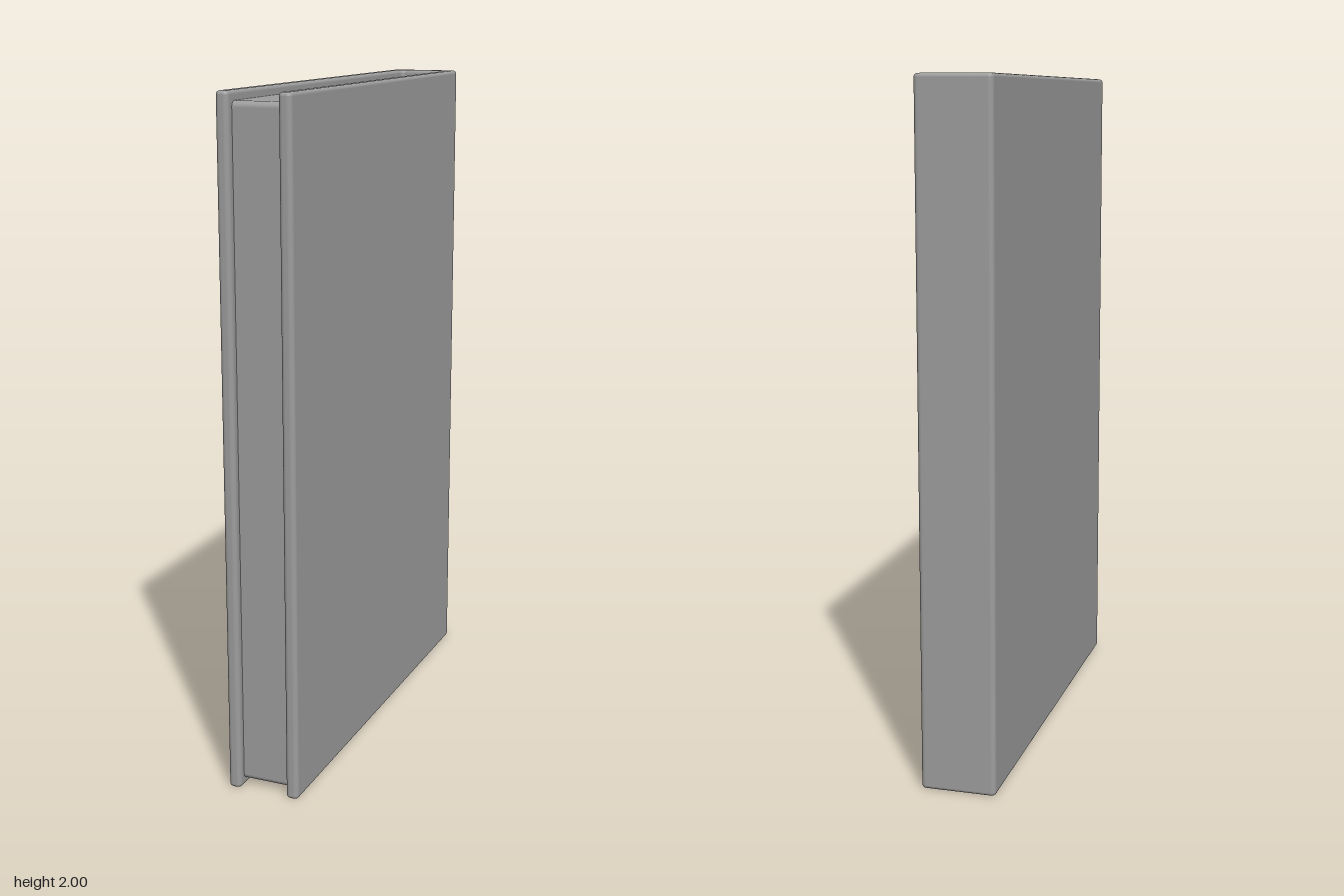
import * as THREE from 'three';
import { mergeVertices } from 'three/addons/utils/BufferGeometryUtils.js';
import { RoundedBoxGeometry } from 'three/addons/geometries/RoundedBoxGeometry.js';

const HALF_W = 0.11, HALF_D = 0.66, HEIGHT = 2, BOARD = 0.038;

// Closed right-angled outline with every corner rounded to a true arc
function roundedShape(points, radius) {
  const shape = new THREE.Shape();
  const corners = points.map(([x, y]) => new THREE.Vector2(x, y));
  const n = corners.length;
  corners.forEach((corner, i) => {
    const before = corners[(i + n - 1) % n].clone().sub(corner).setLength(radius);
    const after = corners[(i + 1) % n].clone().sub(corner).setLength(radius);
    const centre = corner.clone().add(before).add(after);
    // The arc runs from the incoming side to the outgoing side
    shape.absarc(centre.x, centre.y, radius,
      Math.atan2(-after.y, -after.x), Math.atan2(-before.y, -before.x),
      before.cross(after) > 0);
  });
  shape.closePath();
  return shape;
}

// Bevelled extrusion centred on its depth, with smooth area-weighted normals
function softExtrude(shape, depth, bevel) {
  const geometry = new THREE.ExtrudeGeometry(shape, {
    depth: depth - 2 * bevel,
    curveSegments: 6,
    bevelThickness: bevel,
    bevelSize: bevel,
    bevelOffset: -bevel,
    bevelSegments: 5,
  });
  geometry.translate(0, 0, bevel - depth / 2);
  geometry.deleteAttribute('normal');
  geometry.deleteAttribute('uv');
  const merged = mergeVertices(geometry, 1e-5);
  merged.computeVertexNormals();
  return merged;
}

export function createModel() {
  const model = new THREE.Group();
  model.name = 'book';
  const material = new THREE.MeshStandardMaterial({ color: 0x9d9d9d });

  // Cover: two boards joined by the spine, a U seen from above
  const inner = HALF_W - BOARD;
  const coverShape = roundedShape([
    [-HALF_W, -HALF_D], [-HALF_W, HALF_D], [HALF_W, HALF_D], [HALF_W, -HALF_D],
    [inner, -HALF_D], [inner, HALF_D - BOARD],
    [-inner, HALF_D - BOARD], [-inner, -HALF_D],
  ], 0.014);
  const cover = new THREE.Mesh(softExtrude(coverShape, HEIGHT, 0.011), material);
  cover.name = 'cover';
  cover.rotation.x = -Math.PI / 2;
  cover.position.y = HEIGHT / 2;
  model.add(cover);

  // Page block: recessed at top, bottom and front, its sides and back set into the cover
  const sunk = 0.02, low = 0.02, high = 1.973, front = 0.634;
  const back = -HALF_D + BOARD - sunk;
  const pages = new THREE.Mesh(
    new RoundedBoxGeometry(2 * (inner + sunk), high - low, front - back, 5, 0.017), material);
  pages.name = 'pages';
  pages.position.set(0, (low + high) / 2, (front + back) / 2);
  model.add(pages);

  return model;
}
